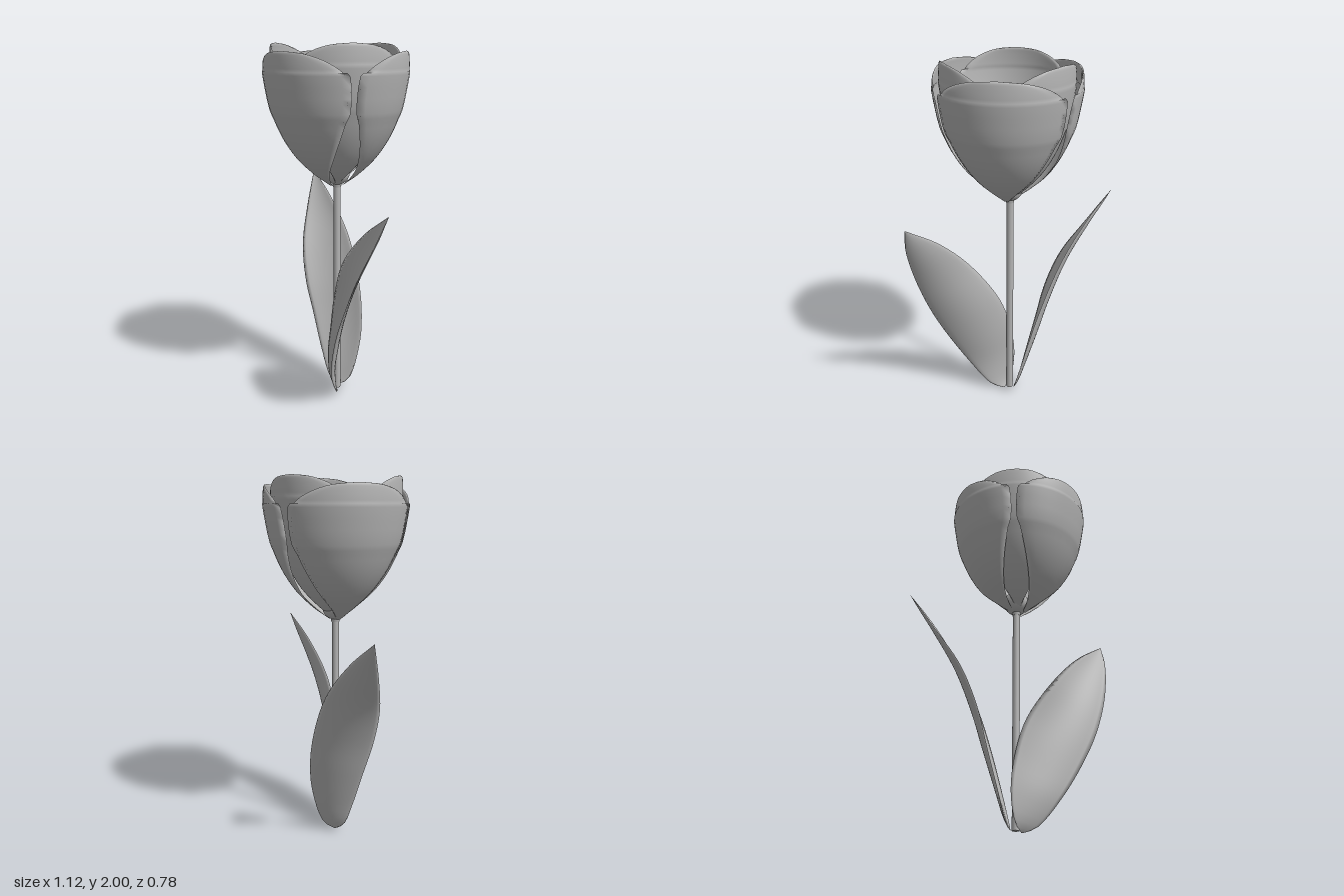
import * as THREE from 'three';

const grey = new THREE.MeshStandardMaterial({ color: 0xb4b4b4, side: THREE.DoubleSide });
grey.name = 'plain grey';

function add(parent, name, geometry, x = 0, y = 0, z = 0) {
  const mesh = new THREE.Mesh(geometry, grey);
  mesh.name = name;
  mesh.position.set(x, y, z);
  parent.add(mesh);
  return mesh;
}

// Thin closed blade: each row runs across the outside face and back along the inside face.
// point(u, v, offset) gives a position; offset pushes it outward from the middle surface.
function blade(point, thickness, rows = 32, cols = 16) {
  const positions = [], index = [], ring = cols * 2;
  for (let i = 0; i <= rows; i++) {
    const u = 0.002 + 0.996 * i / rows;
    for (let j = 0; j < ring; j++) {
      const outside = j <= cols;
      const v = (outside ? j : ring - j) / cols;
      const swell = Math.pow(Math.max(0, 4 * v * (1 - v)), 0.35) * Math.min(1, 12 * u * (1 - u));
      positions.push(...point(u, v, (outside ? 0.5 : -0.5) * thickness * swell).toArray());
    }
  }
  for (let i = 0; i < rows; i++) {
    for (let j = 0; j < ring; j++) {
      const a = i * ring + j, b = i * ring + (j + 1) % ring;
      index.push(a, b, a + ring, b, b + ring, a + ring);
    }
  }
  const geometry = new THREE.BufferGeometry();
  geometry.setAttribute('position', new THREE.Float32BufferAttribute(positions, 3));
  geometry.setIndex(index);
  geometry.computeVertexNormals();
  return geometry;
}

const curve = (points) => new THREE.CatmullRomCurve3(points.map((p) => new THREE.Vector3(...p)));

// Petal profile: radius, height, half angle in degrees
const petalProfile = curve([
  [0.035, 1.235, 18], [0.12, 1.3, 29], [0.22, 1.4, 42], [0.285, 1.5, 49], [0.33, 1.6, 54],
  [0.362, 1.7, 58], [0.378, 1.79, 57.5], [0.383, 1.86, 50], [0.382, 1.91, 38], [0.379, 1.945, 21], [0.377, 1.957, 0],
]);

function petal(radiusScale, heightScale, lift) {
  return blade((u, v, offset) => {
    const p = petalProfile.getPoint(u);
    const angle = (v * 2 - 1) * THREE.MathUtils.degToRad(p.z);
    const r = p.x * radiusScale + offset;
    return new THREE.Vector3(Math.sin(angle) * r, 1.235 + lift + (p.y - 1.235) * heightScale, Math.cos(angle) * r);
  }, 0.014);
}

// Leaf spanned between two edge curves, cupped toward the given direction
function leaf(edgeA, edgeB, cup, depth) {
  const a = curve(edgeA), b = curve(edgeB), out = new THREE.Vector3(...cup).normalize();
  return blade((u, v, offset) => {
    const p = a.getPointAt(u).lerp(b.getPointAt(u), v);
    const bulge = depth * 4 * v * (1 - v) * Math.sin(Math.PI * u);
    return p.addScaledVector(out, bulge + offset);
  }, 0.012);
}

export function createModel() {
  const model = new THREE.Group();
  model.name = 'tulip';

  // Stem
  add(model, 'stem', new THREE.CylinderGeometry(0.02, 0.02, 1.23, 24), -0.026, 0.625, -0.018);
  add(model, 'stemCollar', new THREE.CylinderGeometry(0.026, 0.022, 0.025, 24), -0.025, 1.235, -0.018);

  // Leaves
  add(model, 'leftLeaf', leaf(
    [[0, 0, 0], [-0.06, 0.05, 0], [-0.09, 0.2, -0.005], [-0.06, 0.4, 0], [0, 0.6, 0.03],
      [0.15, 0.85, 0.11], [0.35, 1.05, 0.16], [0.56, 1.19, 0.205]],
    [[0, 0, 0], [0.05, 0.03, 0.06], [0.13, 0.2, 0.18], [0.25, 0.45, 0.27], [0.33, 0.62, 0.295],
      [0.42, 0.82, 0.292], [0.52, 1.05, 0.25], [0.56, 1.19, 0.205]],
    [0.75, -0.15, -0.66], 0.045));
  add(model, 'rightLeaf', leaf(
    [[-0.04, 0.01, -0.04], [-0.1, 0.05, -0.03], [-0.17, 0.2, -0.03], [-0.25, 0.4, -0.04], [-0.33, 0.6, -0.05],
      [-0.41, 0.8, -0.1], [-0.49, 1.0, -0.21], [-0.565, 1.215, -0.34]],
    [[-0.04, 0.01, -0.04], [0.01, 0.05, -0.08], [0.03, 0.25, -0.15], [0.01, 0.42, -0.19], [-0.05, 0.62, -0.225],
      [-0.18, 0.87, -0.265], [-0.38, 1.08, -0.305], [-0.565, 1.215, -0.34]],
    [-0.5, -0.15, -0.86], 0.035));

  // Flower head
  const flower = new THREE.Group();
  flower.name = 'flower';
  flower.position.set(-0.02, 0, -0.005);
  model.add(flower);

  // Three outer petals alternate with three inner ones
  const outer = petal(1, 1, 0), inner = petal(0.9, 1.035, 0.015);
  for (let i = 0; i < 3; i++) {
    add(flower, 'outerPetal', outer).rotation.y = i * Math.PI * 2 / 3;
    add(flower, 'innerPetal', inner).rotation.y = (i * 2 + 1) * Math.PI / 3;
  }

  // Rounded flower centre with a ring of small beads
  const heart = new THREE.Group();
  heart.name = 'flowerCentre';
  heart.position.set(-0.005, 1.305, -0.015);
  flower.add(heart);
  add(heart, 'centreDome', new THREE.SphereGeometry(0.07, 32, 20));
  const bead = new THREE.SphereGeometry(0.008, 12, 8);
  add(heart, 'bead', bead, 0, 0.07, 0);
  for (let i = 0; i < 6; i++) {
    const angle = i * Math.PI / 3;
    add(heart, 'bead', bead, Math.cos(angle) * 0.034, 0.061, Math.sin(angle) * 0.034);
  }
  return model;
}
